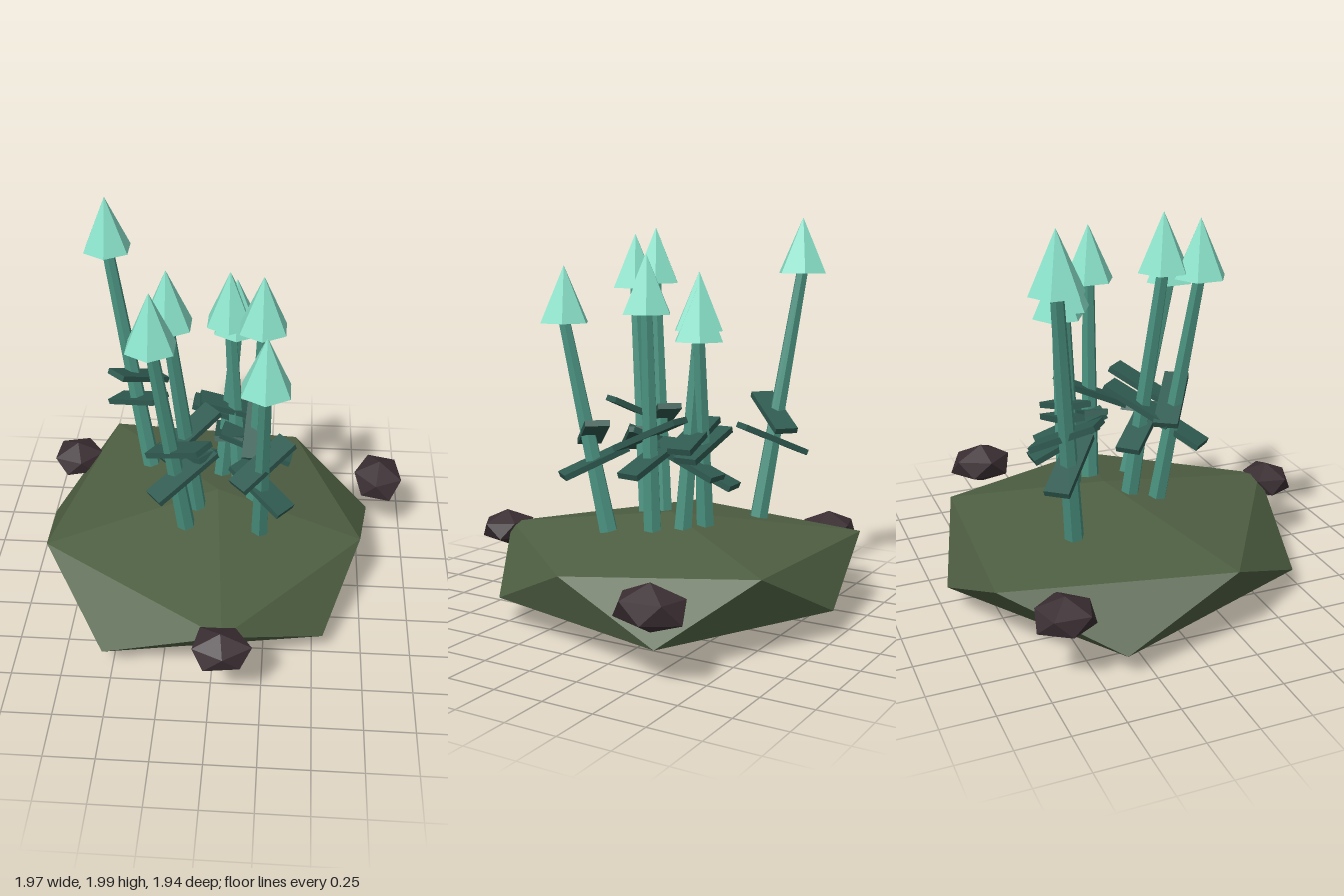
import * as THREE from 'three';

const paint = (name, color) => {
  const m = new THREE.MeshStandardMaterial({ color, flatShading: true });
  m.name = name;
  return m;
};

// Twenty-sided boulder: top point, upper ring, lower ring, bottom point
function boulder(top, upper, lower, bottom) {
  const pos = [];
  const tri = (...corners) => corners.forEach((c) => pos.push(...c));
  for (let i = 0; i < 5; i++) {
    const j = (i + 1) % 5;
    tri(top, upper[j], upper[i]);
    tri(upper[i], upper[j], lower[i]);
    tri(lower[i], upper[j], lower[j]);
    tri(bottom, lower[i], lower[j]);
  }
  const g = new THREE.BufferGeometry();
  g.setAttribute('position', new THREE.Float32BufferAttribute(pos, 3));
  g.computeVertexNormals();
  return g;
}

// Small rock with slightly uneven rings
function rockGeometry(rx, ry, rz, spin) {
  const ring = (y, offset) => Array.from({ length: 5 }, (_, i) => {
    const a = spin + offset + (i * Math.PI * 2) / 5;
    const k = 0.94 + 0.06 * Math.sin(i * 2.4 + spin * 3 + y * 20);
    return [rx * k * Math.cos(a), y, rz * k * Math.sin(a)];
  });
  return boulder([0, ry, 0], ring(ry * 0.42, 0), ring(-ry * 0.42, Math.PI / 5), [0, -ry, 0]);
}

export function createModel() {
  const model = new THREE.Group();
  const moss = paint('moss', 0x4e5f42);
  const stone = paint('dark stone', 0x3a2e32);
  const stalk = paint('stalk teal', 0x4a9280);
  const tip = paint('pale mint', 0x88e0c8);
  const leaf = paint('deep teal', 0x2f5a50);

  const add = (parent, name, geometry, material) => {
    const mesh = new THREE.Mesh(geometry, material);
    mesh.name = name;
    parent.add(mesh);
    return mesh;
  };

  // Mossy mound
  add(model, 'mound', boulder(
    [-0.02, 0.53, -0.13],
    [[0.74, 0.36, 0.03], [0.06, 0.38, 0.81], [-0.89, 0.385, 0.2], [-0.66, 0.39, -0.89], [0.39, 0.385, -0.83]],
    [[0.55, 0.13, 0.52], [-0.545, 0.12, 0.69], [-0.965, 0.12, -0.38], [-0.09, 0.135, -0.98], [0.805, 0.13, -0.52]],
    [-0.02, 0, -0.15],
  ), moss);

  // Rocks around the rim
  [
    [0.86, 0.34, -0.535, 0.14, 0.11, 0.175, 0.5],
    [-0.86, 0.33, -0.635, 0.145, 0.095, 0.15, 1.3],
    [0.055, 0.345, 0.845, 0.155, 0.095, 0.13, 0.2],
  ].forEach(([x, y, z, rx, ry, rz, spin]) => {
    add(model, 'rock', rockGeometry(rx, ry, rz, spin), stone).position.set(x, y, z);
  });

  // A leaf is a thin plank between two points
  const addLeaf = (parent, a, b) => {
    const p = new THREE.Vector3(...a);
    const q = new THREE.Vector3(...b);
    const along = q.clone().sub(p);
    const length = along.length();
    along.normalize();
    const across = new THREE.Vector3().crossVectors(along, new THREE.Vector3(0, 1, 0)).normalize();
    const up = new THREE.Vector3().crossVectors(across, along);
    const mesh = add(parent, 'leaf', new THREE.BoxGeometry(length, 0.03, 0.12), leaf);
    mesh.quaternion.setFromRotationMatrix(new THREE.Matrix4().makeBasis(along, up, across));
    mesh.position.copy(p).lerp(q, 0.5);
  };

  // Each plant: foot, tip, and two crossing leaves
  const plants = [
    { foot: [-0.41, 0.46, -0.43], top: [-0.61, 1.99, -0.56],
      leaves: [[[-0.57, 1.08, -0.36], [-0.36, 0.93, -0.60]], [[-0.61, 0.79, -0.58], [-0.34, 0.94, -0.36]]] },
    { foot: [-0.17, 0.47, 0.10], top: [-0.30, 1.91, 0.25],
      leaves: [[[-0.31, 0.78, 0.28], [-0.04, 0.93, 0.06]], [[-0.33, 0.92, 0.07], [-0.06, 1.07, 0.25]]] },
    { foot: [-0.12, 0.48, -0.03], top: [-0.24, 1.94, 0.09],
      leaves: [[[-0.29, 0.80, -0.11], [-0.05, 0.93, 0.12]], [[-0.04, 1.06, -0.11], [-0.29, 0.91, 0.12]]] },
    { foot: [0.09, 0.48, -0.26], top: [0.03, 1.73, -0.31],
      leaves: [[[0.24, 0.89, -0.32], [-0.12, 1.00, -0.29]], [[0.09, 0.75, -0.45], [0.05, 0.88, -0.10]]] },
    { foot: [-0.01, 0.49, -0.33], top: [0.065, 1.68, -0.33],
      leaves: [[[-0.16, 0.95, -0.34], [0.20, 0.84, -0.33]], [[0.01, 0.70, -0.50], [0.02, 0.84, -0.16]]] },
    { foot: [0.17, 0.47, -0.135], top: [0.20, 1.81, -0.12],
      leaves: [[[0.36, 0.77, -0.11], [0.00, 0.90, -0.16]], [[0.17, 0.87, 0.05], [0.19, 1.03, -0.30]]] },
    { foot: [0.21, 0.45, 0.095], top: [0.23, 1.755, 0.335],
      leaves: [[[0.09, 0.86, 0.07], [0.34, 0.73, 0.28]], [[0.10, 0.87, 0.28], [0.34, 1.01, 0.07]]] },
  ];
  const capHeight = 0.28;

  for (const { foot, top, leaves } of plants) {
    const plant = new THREE.Group();
    plant.name = 'plant';
    model.add(plant);

    // Leaning six-sided stalk
    const a = new THREE.Vector3(...foot);
    const b = new THREE.Vector3(top[0], top[1] - capHeight + 0.01, top[2]);
    const dir = b.clone().sub(a);
    const stem = add(plant, 'stalk', new THREE.CylinderGeometry(0.031, 0.048, dir.length(), 6), stalk);
    stem.position.copy(a).lerp(b, 0.5);
    stem.quaternion.setFromUnitVectors(new THREE.Vector3(0, 1, 0), dir.normalize());

    // Upright pointed cap
    const cap = add(plant, 'cap', new THREE.ConeGeometry(0.129, capHeight, 6), tip);
    cap.position.set(top[0], top[1] - capHeight / 2, top[2]);

    leaves.forEach(([p, q]) => addLeaf(plant, p, q));
  }
  return model;
}
